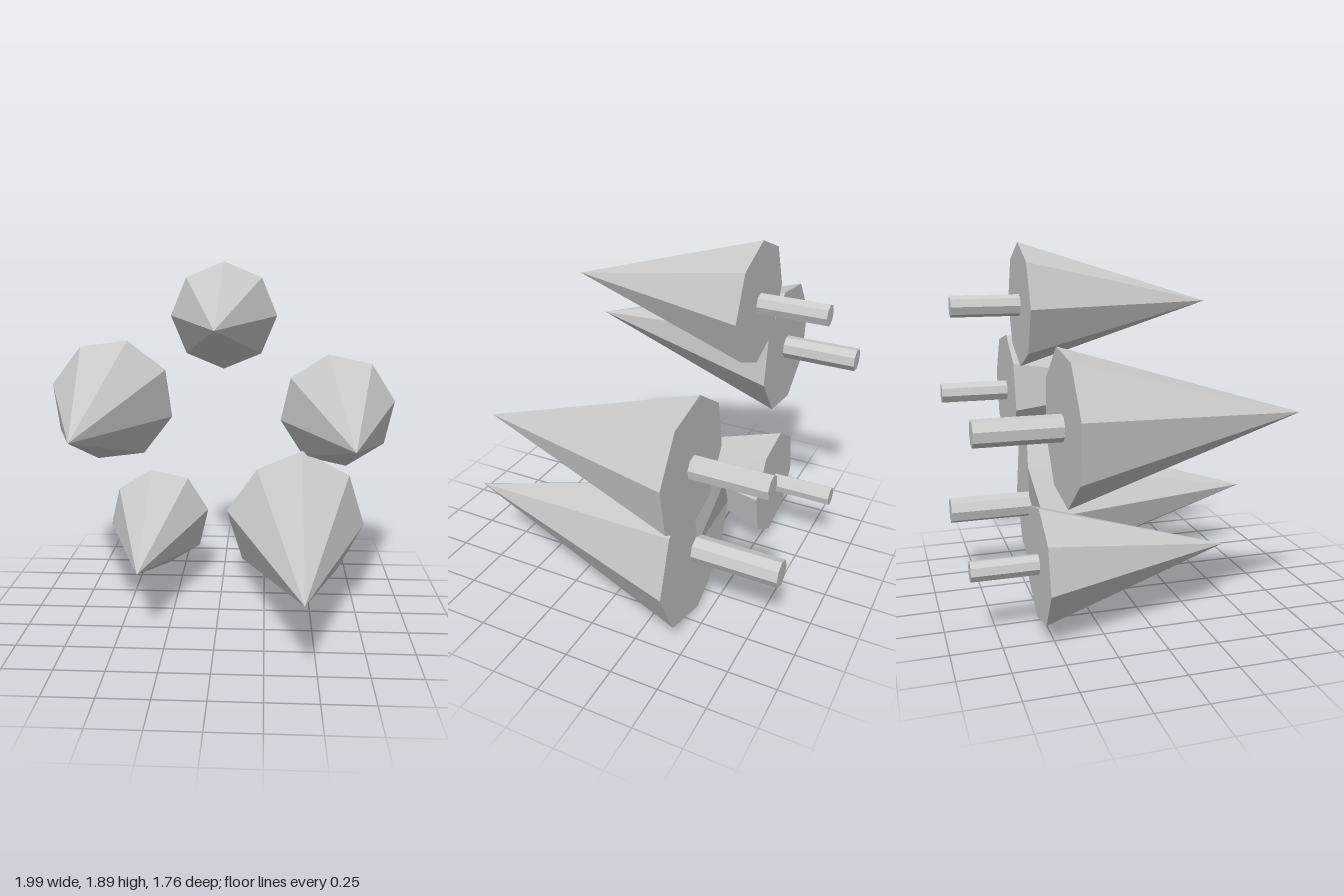
import * as THREE from 'three';

const SIDES = 8;
const STEM_END = -0.88;
const material = new THREE.MeshStandardMaterial({ color: 0xcccccc, flatShading: true, side: THREE.DoubleSide });

// x, y: axis position; r: base radius; tip, base: z extents; turn: roll in degrees
const SPIKES = [
  { name: 'topSpike', x: 0, y: 1.58, r: 0.307, tip: 0.45, base: -0.54, turn: 0 },
  { name: 'upperRightSpike', x: -0.65, y: 1.09, r: 0.362, tip: 0.69, base: -0.48, turn: -15 },
  { name: 'upperLeftSpike', x: 0.665, y: 1.035, r: 0.335, tip: 0.575, base: -0.508, turn: 10.3 },
  { name: 'lowerRightSpike', x: -0.39, y: 0.36, r: 0.3, tip: 0.42, base: -0.55, turn: 9.6 },
  { name: 'lowerLeftSpike', x: 0.428, y: 0.406, r: 0.406, tip: 0.88, base: -0.43, turn: -5,
    dent: { from: [-0.26, 0.31, -0.43], to: [-0.228, 0.278, -0.477] } },
];

// Turn a y-axis geometry so that it runs from z0 (back) to z1 (front)
function alongZ(geometry, z0, z1, turn) {
  return geometry.rotateX(Math.PI / 2)
    .rotateZ(THREE.MathUtils.degToRad(turn))
    .translate(0, 0, (z0 + z1) / 2);
}

// Push one rim corner (all its copies) to a new place
function dentCorner(geometry, { from, to }) {
  const pos = geometry.attributes.position;
  const corner = new THREE.Vector3(...from);
  const v = new THREE.Vector3();
  for (let i = 0; i < pos.count; i++) {
    if (v.fromBufferAttribute(pos, i).distanceTo(corner) < 0.08) pos.setXYZ(i, ...to);
  }
  geometry.computeVertexNormals();
}

function makeSpike({ name, x, y, r, tip, base, turn, dent }) {
  const spike = new THREE.Group();
  spike.name = name;
  spike.position.set(x, y, 0);

  // Faceted cone pointing forward
  const coneGeometry = alongZ(new THREE.ConeGeometry(r, tip - base, SIDES), base, tip, turn);
  if (dent) dentCorner(coneGeometry, dent);
  const cone = new THREE.Mesh(coneGeometry, material);
  cone.name = 'cone';

  // Peg behind the cone
  const stemRadius = r * 0.174;
  const stem = new THREE.Mesh(
    alongZ(new THREE.CylinderGeometry(stemRadius, stemRadius, base - STEM_END, SIDES), STEM_END, base, turn),
    material,
  );
  stem.name = 'stem';

  spike.add(cone, stem);
  return spike;
}

export function createModel() {
  const model = new THREE.Group();
  model.name = 'spikeCluster';
  for (const spec of SPIKES) model.add(makeSpike(spec));
  return model;
}
